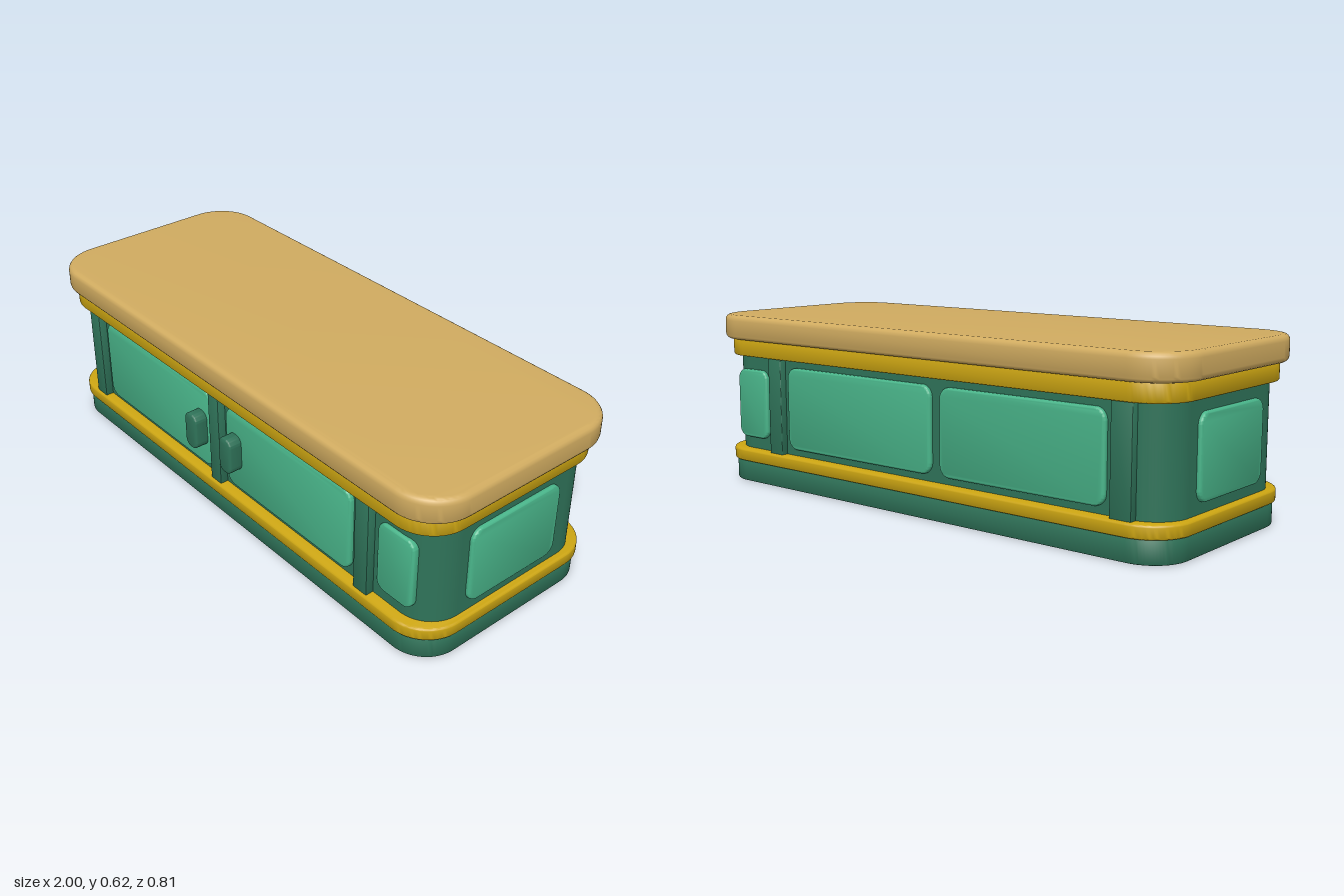
import * as THREE from 'three';
import { toCreasedNormals } from 'three/addons/utils/BufferGeometryUtils.js';

const mat = (name, color) => new THREE.MeshStandardMaterial({ name, color });

// Rounded rectangle outline centred on the origin
function roundedRect(w, h, r) {
  const s = new THREE.Shape();
  const x = w / 2, y = h / 2;
  s.moveTo(x, -y + r);
  s.lineTo(x, y - r);
  s.absarc(x - r, y - r, r, 0, Math.PI / 2);
  s.lineTo(-x + r, y);
  s.absarc(-x + r, y - r, r, Math.PI / 2, Math.PI);
  s.lineTo(-x, -y + r);
  s.absarc(-x + r, -y + r, r, Math.PI, Math.PI * 1.5);
  s.lineTo(x - r, -y);
  s.absarc(x - r, -y + r, r, Math.PI * 1.5, Math.PI * 2);
  return s;
}

// Softened plate of size w x h, running from z = 0 to z = depth
function plate(w, h, depth, r, bevel) {
  const g = new THREE.ExtrudeGeometry(roundedRect(w, h, r), {
    depth: depth - 2 * bevel, bevelEnabled: bevel > 0, bevelThickness: bevel,
    bevelSize: bevel, bevelOffset: -bevel, bevelSegments: 4, curveSegments: 10,
  });
  g.translate(0, 0, bevel);
  return toCreasedNormals(g, 0.6);
}

export function createModel() {
  const group = new THREE.Group();
  group.name = 'counter';
  const darkGreen = mat('dark green', 0x2f7359);
  const lightGreen = mat('light green', 0x49b58a);
  const gold = mat('gold', 0xcca512);
  const tan = mat('tan wood', 0xd0ab60);

  const add = (name, geometry, material) => {
    const m = new THREE.Mesh(geometry, material);
    m.name = name;
    group.add(m);
    return m;
  };

  // Horizontal layers: name, material, x half, z min, z max, y min, y max, radius, bevel
  const layers = [
    ['plinth', darkGreen, 0.968, -0.38, 0.368, 0, 0.08, 0.13, 0.005],
    ['lowerTrim', gold, 0.977, -0.39, 0.378, 0.076, 0.121, 0.14, 0.008],
    ['body', darkGreen, 0.953, -0.35, 0.34, 0.11, 0.48, 0.12, 0],
    ['upperTrim', gold, 0.974, -0.383, 0.38, 0.466, 0.535, 0.14, 0.008],
    ['countertop', tan, 1.0, -0.405, 0.402, 0.526, 0.615, 0.155, 0.02],
  ];
  for (const [name, material, hx, z0, z1, y0, y1, r, bevel] of layers) {
    const g = plate(hx * 2, z1 - z0, y1 - y0, r, bevel);
    g.rotateX(-Math.PI / 2);
    add(name, g, material).position.set(0, y0, (z0 + z1) / 2);
  }

  // Raised plate on a long face; side is 1 for the front and -1 for the back
  const onLongFace = (name, side, x0, x1, y0, y1, zIn, zOut, r, bevel, material) => {
    const m = add(name, plate(x1 - x0, y1 - y0, zOut - zIn, r, bevel), material);
    m.position.set((x0 + x1) / 2, (y0 + y1) / 2, side * zIn);
    if (side < 0) m.rotation.y = Math.PI;
  };

  // Door panels and small panels
  onLongFace('frontDoorPanel', 1, -0.73, -0.085, 0.145, 0.447, 0.33, 0.358, 0.04, 0.008, lightGreen);
  onLongFace('frontDoorPanel', 1, 0, 0.622, 0.145, 0.447, 0.33, 0.358, 0.04, 0.008, lightGreen);
  onLongFace('frontSmallPanel', 1, 0.737, 0.888, 0.164, 0.416, 0.325, 0.352, 0.035, 0.008, lightGreen);
  onLongFace('backPanel', -1, -0.75, -0.11, 0.145, 0.44, 0.34, 0.366, 0.04, 0.008, lightGreen);
  onLongFace('backPanel', -1, -0.07, 0.615, 0.145, 0.44, 0.34, 0.366, 0.04, 0.008, lightGreen);
  onLongFace('backSmallPanel', -1, 0.73, 0.885, 0.164, 0.416, 0.34, 0.366, 0.035, 0.008, lightGreen);

  // Upright posts between the panels
  for (const [x0, x1] of [[-0.82, -0.76], [-0.08, -0.025], [0.655, 0.715]])
    onLongFace('frontPost', 1, x0, x1, 0.115, 0.47, 0.32, 0.369, 0.006, 0.003, darkGreen);
  for (const [x0, x1] of [[-0.85, -0.775], [0.64, 0.705]])
    onLongFace('backPost', -1, x0, x1, 0.115, 0.47, 0.33, 0.375, 0.006, 0.003, darkGreen);

  // Door handles
  for (const x of [-0.139, 0.053])
    onLongFace('doorHandle', 1, x - 0.032, x + 0.032, 0.227, 0.362, 0.35, 0.405, 0.028, 0.007, darkGreen);

  // End panels
  for (const side of [-1, 1]) {
    const m = add('endPanel', plate(0.38, 0.27, 0.025, 0.04, 0.008), lightGreen);
    m.rotation.y = side * Math.PI / 2;
    m.position.set(side * 0.942, 0.291, 0);
  }
  return group;
}
